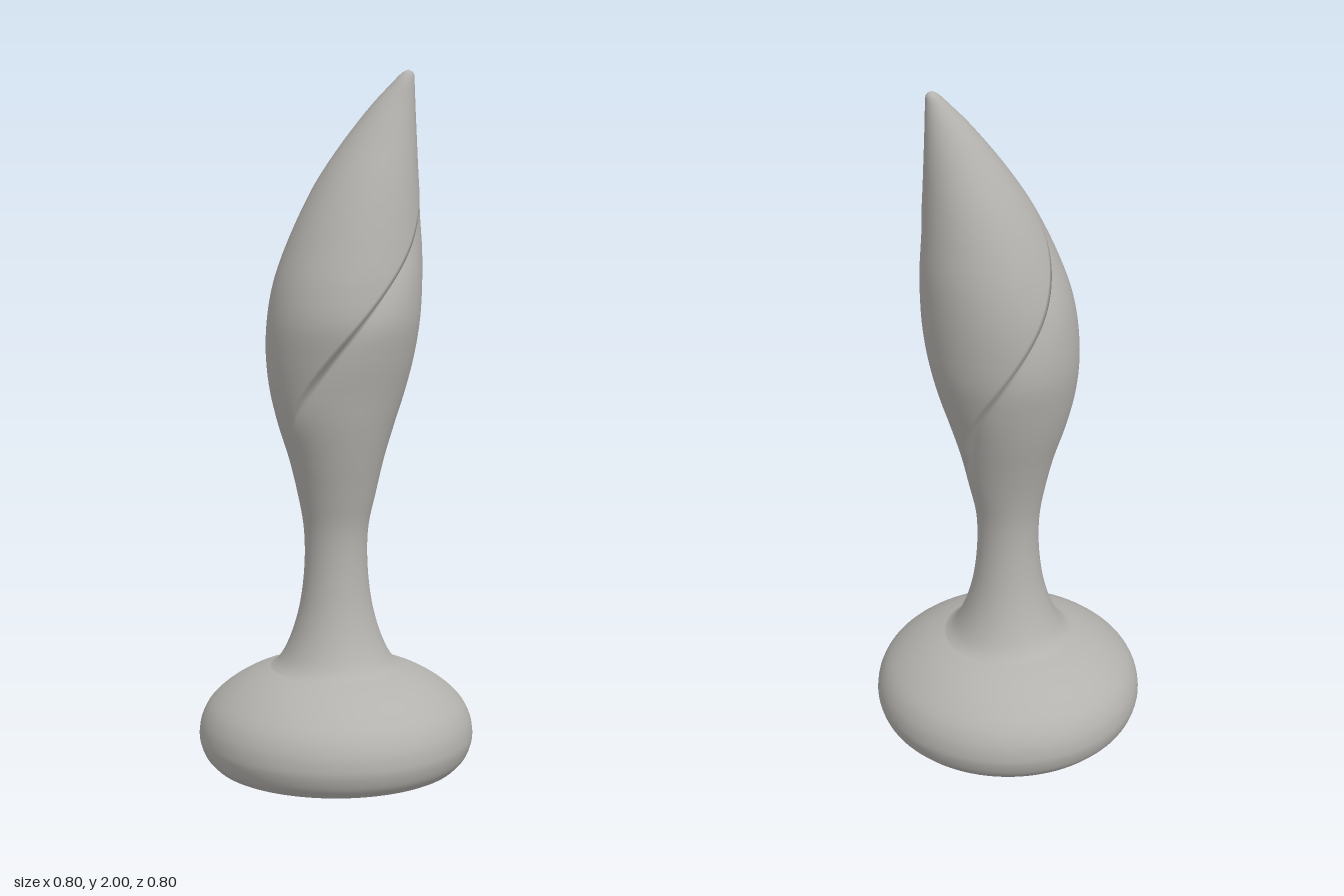
import * as THREE from 'three';

const stone = new THREE.MeshStandardMaterial({ color: 0xb4b2ae });
stone.name = 'warm grey';

// Flame sections: y, x min, x max, z min, z max
const SECTIONS = [
  [0.27, -0.215, 0.215, -0.215, 0.215], [0.3, -0.172, 0.172, -0.172, 0.172],
  [0.35, -0.142, 0.142, -0.142, 0.142], [0.42, -0.117, 0.117, -0.117, 0.117],
  [0.5, -0.1, 0.1, -0.1, 0.1], [0.6, -0.091, 0.091, -0.091, 0.091],
  [0.7, -0.094, 0.094, -0.094, 0.094], [0.8, -0.112, 0.115, -0.112, 0.115],
  [0.9, -0.136, 0.138, -0.138, 0.14], [1.0, -0.167, 0.168, -0.168, 0.163],
  [1.1, -0.19, 0.2, -0.195, 0.182], [1.2, -0.2, 0.225, -0.218, 0.205],
  [1.3, -0.197, 0.24, -0.225, 0.222], [1.4, -0.18, 0.247, -0.222, 0.212],
  [1.5, -0.147, 0.249, -0.207, 0.188], [1.6, -0.103, 0.243, -0.181, 0.16],
  [1.7, -0.047, 0.236, -0.147, 0.127], [1.8, 0.021, 0.231, -0.105, 0.088],
  [1.9, 0.1, 0.226, -0.06, 0.05], [1.96, 0.156, 0.223, -0.032, 0.03],
  [1.99, 0.186, 0.22, -0.016, 0.016], [2.0, 0.205, 0.205, 0, 0],
];
const TWIST = 3.5; // radians of spiral per unit of height
const HALF = 48; // columns in each half of the spiral
const LIP = 0.035; // angular width of the groove wall

// Weathered foot, turned on the lathe
function makeBase() {
  const rim = new THREE.SplineCurve([
    [0.362, 0.004], [0.385, 0.03], [0.398, 0.065], [0.4, 0.095], [0.392, 0.135],
    [0.368, 0.178], [0.322, 0.22], [0.265, 0.255], [0.205, 0.28], [0.15, 0.297],
  ].map(([r, y]) => new THREE.Vector2(r, y))).getPoints(40);
  const base = new THREE.Mesh(new THREE.LatheGeometry(rim, 96), stone);
  base.name = 'base';
  const bottom = new THREE.Mesh(new THREE.CircleGeometry(0.362, 96), stone);
  bottom.rotation.x = Math.PI / 2;
  bottom.position.y = 0.004;
  bottom.name = 'baseUnderside';
  return [base, bottom];
}

// Neck and flame: columns follow the spiral so the folds stay crisp
function makeFlame() {
  const curve = (pick) => new THREE.CatmullRomCurve3(SECTIONS.map(pick), false, 'catmullrom', 0.5);
  const centres = curve(([y, x0, x1, z0, z1]) => new THREE.Vector3((x0 + x1) / 2, y, (z0 + z1) / 2));
  const radii = curve(([y, x0, x1, z0, z1]) => new THREE.Vector3((x1 - x0) / 2, y, (z1 - z0) / 2));
  const rows = 126, cols = HALF * 2;
  const positions = [], index = [];
  const { smoothstep } = THREE.MathUtils;

  for (let r = 0; r <= rows; r++) {
    const c = centres.getPoint(r / rows), rad = radii.getPoint(r / rows);
    for (let i = 0; i < cols; i++) {
      const half = Math.floor(i / HALF);
      const w = LIP + (Math.PI - LIP) * (i % HALF) / (HALF - 1);
      const t = Math.PI / 2 + half * Math.PI + w - TWIST * (c.y - 1.27);
      // The surface dips under each fold and fades out at its ends
      const start = half ? 0.98 : 0.8;
      const depth = smoothstep(c.y, start, start + 0.2) * (1 - smoothstep(c.y, 1.45, 1.7));
      const dip = 1 - 0.13 * depth * Math.exp((w - Math.PI) / 0.3);
      positions.push(c.x + rad.x * dip * Math.cos(t), c.y, c.z + rad.z * dip * Math.sin(t));
      if (r < rows) {
        const a = r * cols + i, b = r * cols + (i + 1) % cols;
        index.push(a, a + cols, b, b, a + cols, b + cols);
      }
    }
  }
  const geometry = new THREE.BufferGeometry();
  geometry.setAttribute('position', new THREE.Float32BufferAttribute(positions, 3));
  geometry.setIndex(index);
  geometry.computeVertexNormals();
  const flame = new THREE.Mesh(geometry, stone);
  flame.name = 'flame';
  return flame;
}

export function createModel() {
  const model = new THREE.Group();
  model.name = 'flameFinial';
  model.add(...makeBase(), makeFlame());
  return model;
}
